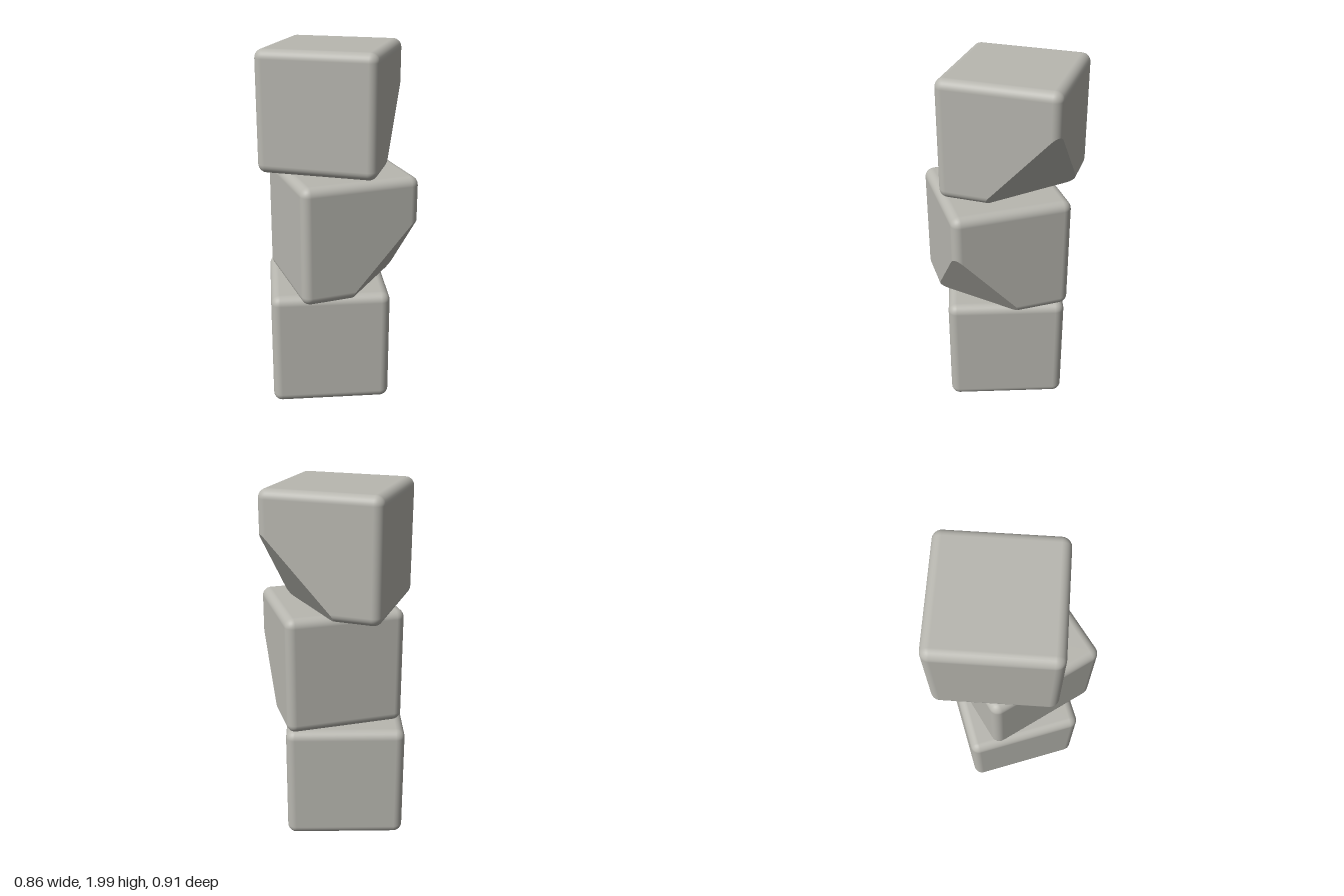
import * as THREE from 'three';
import { RoundedBoxGeometry } from 'three/addons/geometries/RoundedBoxGeometry.js';

const SIZE = 0.665;
const HALF = SIZE / 2;
const RADIUS = 0.05;

// Cuts a convex geometry with a plane, keeps the positive side and caps the cut
function chip(source, plane) {
  const position = source.attributes.position;
  const normal = source.attributes.normal;
  const points = [], normals = [], rim = [];
  const add = (p, n) => {
    points.push(p.x, p.y, p.z);
    normals.push(n.x, n.y, n.z);
  };

  for (let i = 0; i < position.count; i += 3) {
    const corners = [0, 1, 2].map((k) => {
      const p = new THREE.Vector3().fromBufferAttribute(position, i + k);
      const n = new THREE.Vector3().fromBufferAttribute(normal, i + k);
      return { p, n, d: plane.distanceToPoint(p) };
    });
    const kept = [];
    let enter = null, exit = null;
    corners.forEach((a, k) => {
      const b = corners[(k + 1) % 3];
      if (a.d >= 0) kept.push(a);
      if ((a.d >= 0) !== (b.d >= 0)) {
        const t = a.d / (a.d - b.d);
        const cut = { p: a.p.clone().lerp(b.p, t), n: a.n.clone().lerp(b.n, t).normalize() };
        kept.push(cut);
        if (a.d >= 0) exit = cut.p; else enter = cut.p;
      }
    });
    for (let k = 1; k < kept.length - 1; k++) {
      [kept[0], kept[k], kept[k + 1]].forEach((v) => add(v.p, v.n));
    }
    if (enter && exit) rim.push([enter, exit]);
  }

  // Flat face of the broken corner
  const centre = new THREE.Vector3();
  rim.forEach(([a]) => centre.addScaledVector(a, 1 / rim.length));
  const out = plane.normal.clone().negate();
  rim.forEach(([a, b]) => [a, b, centre].forEach((p) => add(p, out)));

  const result = new THREE.BufferGeometry();
  result.setAttribute('position', new THREE.Float32BufferAttribute(points, 3));
  result.setAttribute('normal', new THREE.Float32BufferAttribute(normals, 3));
  return result;
}

// Plane slicing off the lower right corner, at the front (side 1) or back (side -1)
function cornerPlane(side, alongX, alongY, alongZ) {
  const corner = new THREE.Vector3(HALF, -HALF, side * HALF);
  const inward = new THREE.Vector3(-1 / alongX, 1 / alongY, -side / alongZ);
  const length = inward.length();
  const offset = -(inward.dot(corner) + 1) / length;
  return new THREE.Plane(inward.divideScalar(length), offset);
}

export function createModel() {
  const model = new THREE.Group();
  model.name = 'stackedBlocks';
  const stone = new THREE.MeshStandardMaterial({ color: 0xb8b7b0 });
  stone.name = 'warm grey stone';

  // Blocks from the ground up, each twisted differently
  const blocks = [
    { name: 'bottomBlock', at: [-0.068, 0.338, 0], turn: 5.5 },
    { name: 'middleBlock', at: [0.015, 1.003, 0.043], turn: 20.5, cut: cornerPlane(1, 0.41, 0.45, 0.39) },
    { name: 'topBlock', at: [-0.04, 1.667, -0.06], turn: -14.5, cut: cornerPlane(-1, 0.44, 0.465, 0.42) },
  ];
  for (const { name, at, turn, cut } of blocks) {
    const box = new RoundedBoxGeometry(SIZE, SIZE, SIZE, 4, RADIUS);
    const block = new THREE.Mesh(cut ? chip(box, cut) : box, stone);
    block.name = name;
    block.position.set(...at);
    block.rotation.y = THREE.MathUtils.degToRad(turn);
    model.add(block);
  }
  return model;
}
